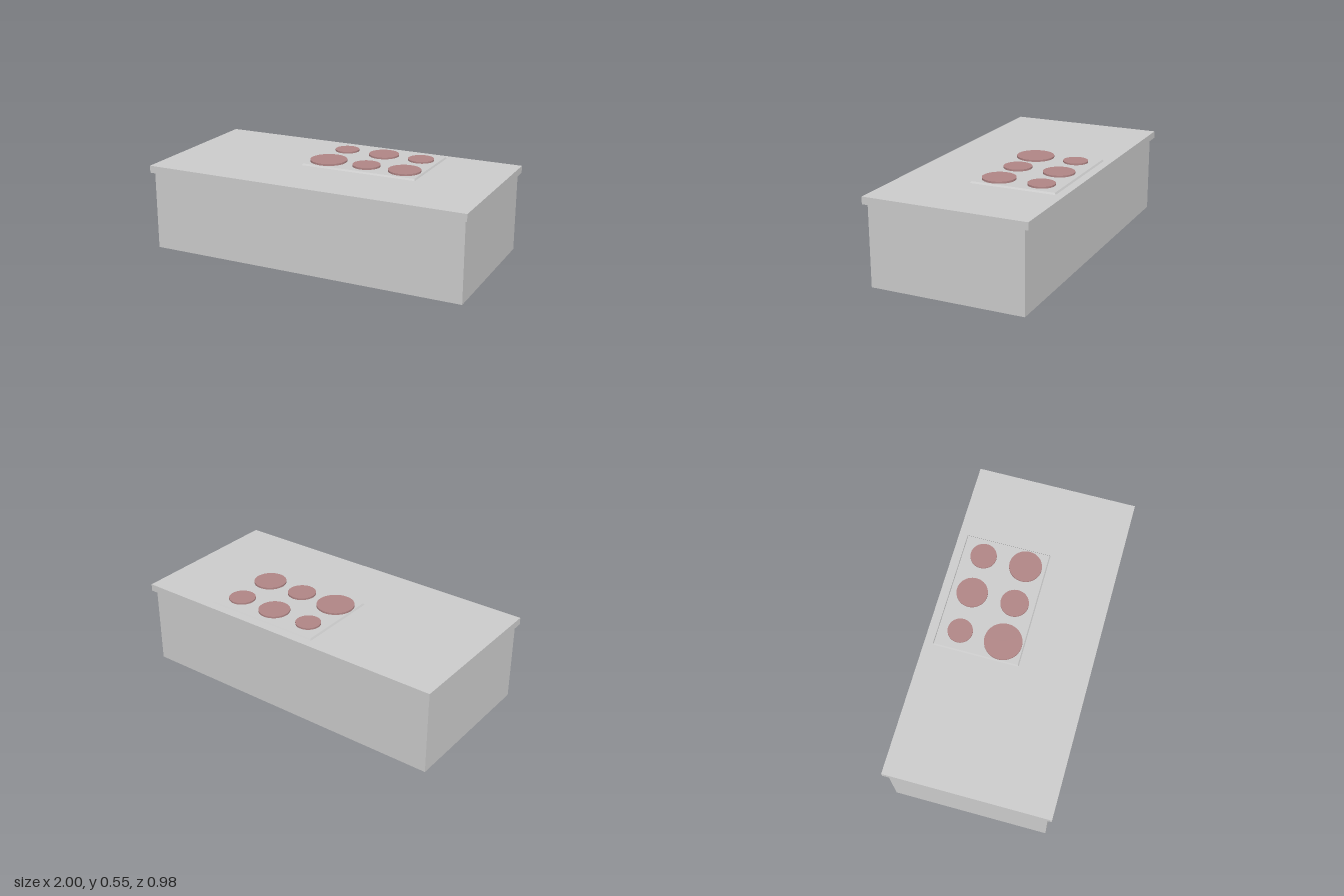
import * as THREE from 'three';

const grey = new THREE.MeshStandardMaterial({ color: 0xcccccc, flatShading: true });
const red = new THREE.MeshStandardMaterial({ color: 0xb08585 });

// Box between two heights, centred on (x, z); the top face may be inset for a bevel
function slab(name, w, d, y0, y1, x = 0, z = 0, inset = 0) {
  const geo = new THREE.BoxGeometry(w, y1 - y0, d);
  const p = geo.attributes.position;
  for (let i = 0; i < p.count; i++) {
    if (p.getY(i) > 0) {
      p.setX(i, p.getX(i) - Math.sign(p.getX(i)) * inset);
      p.setZ(i, p.getZ(i) - Math.sign(p.getZ(i)) * inset);
    }
  }
  geo.computeVertexNormals();
  const mesh = new THREE.Mesh(geo, grey);
  mesh.name = name;
  mesh.position.set(x, (y0 + y1) / 2, z);
  return mesh;
}

export function createModel() {
  const model = new THREE.Group();
  model.name = 'kitchenIsland';

  // Cabinet body and overhanging worktop
  model.add(slab('cabinet', 1.968, 0.93, 0, 0.483));
  model.add(slab('worktop', 2, 0.982, 0.483, 0.527));

  // Thin cooktop plate with bevelled edges
  const hob = new THREE.Group();
  hob.name = 'cooktop';
  hob.add(slab('cooktopPlate', 0.73, 0.518, 0.527, 0.537, 0.175, -0.18, 0.006));

  // Two rows of round burners: z, top height, radii from right to left
  const columns = [-0.07, 0.18, 0.425];
  const rows = [
    { z: -0.306, top: 0.547, radii: [0.074, 0.093, 0.079] },
    { z: -0.046, top: 0.548, radii: [0.112, 0.084, 0.098] },
  ];
  for (const { z, top, radii } of rows) {
    radii.forEach((r, i) => {
      const h = top - 0.535;
      const burner = new THREE.Mesh(new THREE.CylinderGeometry(r, r, h, 48), red);
      burner.name = 'burner';
      burner.position.set(columns[i], top - h / 2, z);
      hob.add(burner);
    });
  }
  model.add(hob);
  return model;
}
